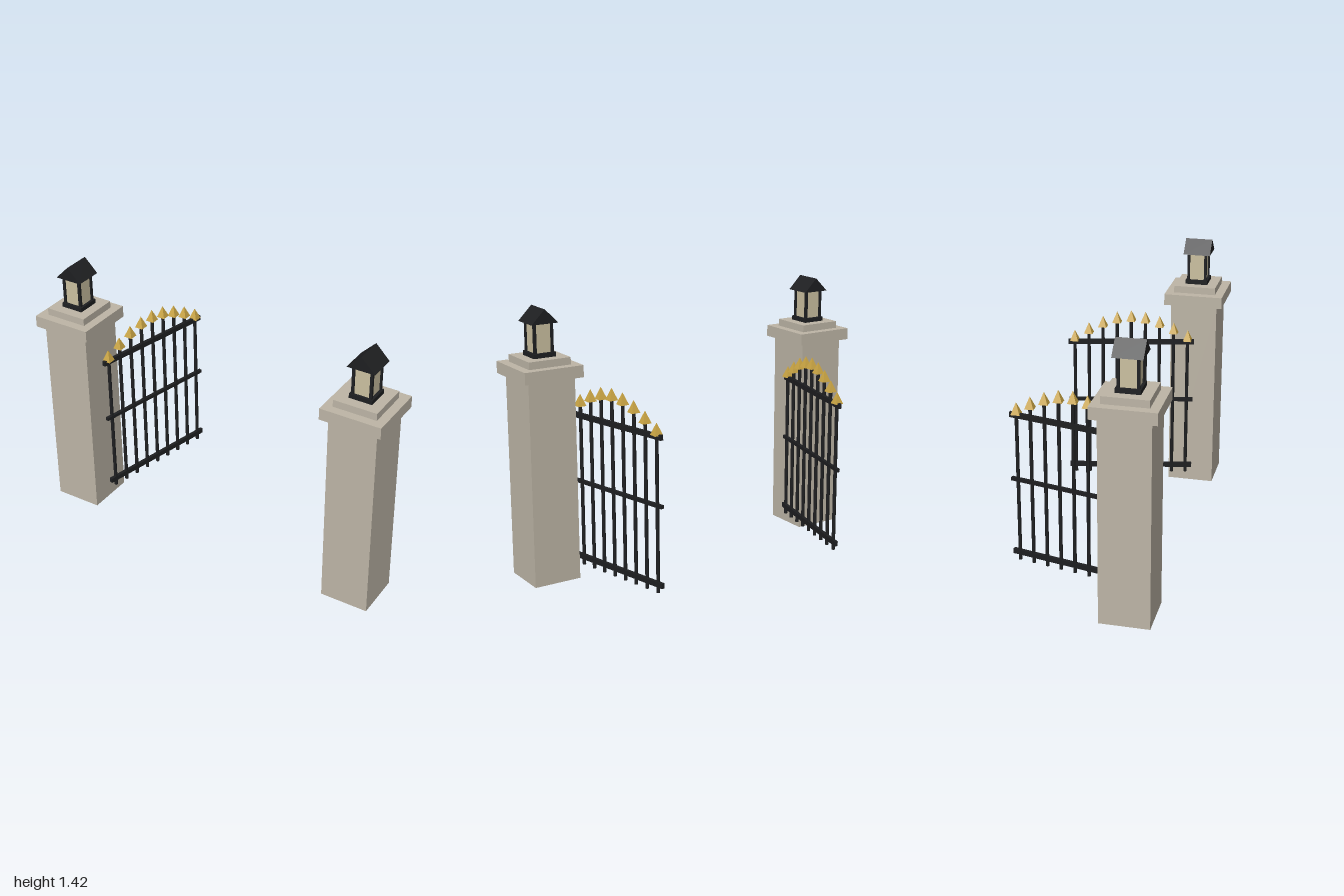
import * as THREE from 'three';

const flat = (name, color, side = THREE.FrontSide) =>
  new THREE.MeshStandardMaterial({ name, color, side, flatShading: true });

export function createModel() {
  const stone = flat('stone', 0xbdb5a6, THREE.DoubleSide);
  const iron = flat('iron', 0x1e1f21);
  const glass = flat('lamp glass', 0xcbc0a0);
  const gold = flat('gold', 0xc9a443);

  const model = new THREE.Group();
  model.name = 'gateway';

  function add(parent, name, geometry, material, x, y, z) {
    const mesh = new THREE.Mesh(geometry, material);
    mesh.name = name;
    mesh.position.set(x, y, z);
    parent.add(mesh);
    return mesh;
  }
  // Box given by its footprint and its bottom and top heights
  const slab = (parent, name, w, y0, y1, d, material, x = 0, z = 0) =>
    add(parent, name, new THREE.BoxGeometry(w, y1 - y0, d), material, x, (y0 + y1) / 2, z);

  function lantern() {
    const lamp = new THREE.Group();
    lamp.name = 'lantern';
    slab(lamp, 'lampBase', 0.122, 1.175, 1.198, 0.122, iron);
    slab(lamp, 'lampGlass', 0.092, 1.198, 1.347, 0.092, glass);
    for (const x of [-1, 1]) for (const z of [-1, 1])
      slab(lamp, 'lampPost', 0.014, 1.198, 1.347, 0.014, iron, x * 0.047, z * 0.047);
    // Gable roof with its ridge running front to back
    const gable = new THREE.Shape([
      new THREE.Vector2(-0.074, 0), new THREE.Vector2(0.074, 0), new THREE.Vector2(0, 0.074),
    ]);
    const roof = new THREE.ExtrudeGeometry(gable, { depth: 0.148, bevelEnabled: false });
    add(lamp, 'lampRoof', roof, iron, 0, 1.347, -0.074);
    return lamp;
  }

  function pillar(side) {
    const group = new THREE.Group();
    group.name = side > 0 ? 'leftPillar' : 'rightPillar';
    group.position.set(side * 0.839, 0, 0.262);
    // Hollow square shaft, open underneath
    const r = 0.257 / Math.SQRT2;
    const shaft = new THREE.CylinderGeometry(r, r, 1.075, 4, 1, true).rotateY(Math.PI / 4);
    add(group, 'shaft', shaft, stone, 0, 1.075 / 2, 0);
    slab(group, 'cap', 0.323, 1.075, 1.137, 0.323, stone);
    slab(group, 'capStep', 0.23, 1.137, 1.175, 0.23, stone);
    group.add(lantern());
    return group;
  }

  function gate(side) {
    const group = new THREE.Group();
    group.name = side > 0 ? 'leftGate' : 'rightGate';
    const angle = 0.222, cx = 0.619, cz = -0.074;
    // Rails swung inward from the pillar
    for (const [y, h] of [[0.103, 0.027], [0.513, 0.018], [0.863, 0.027]]) {
      const rail = slab(group, 'rail', 0.018, y - h / 2, y + h / 2, 0.706, iron, side * cx, cz);
      rail.rotation.y = side * angle;
    }
    // Bars topped with pointed finials along an arch
    for (let i = -4; i <= 4; i++) {
      const z = cz + i * 0.0773;
      const x = side * (cx + i * 0.0773 * Math.tan(angle));
      const tip = 0.932 + 0.117 * Math.cos(i * Math.PI / 8);
      const base = tip - 0.062, length = base - 0.06;
      add(group, 'bar', new THREE.CylinderGeometry(0.0095, 0.0095, length, 8), iron, x, 0.06 + length / 2, z);
      const spike = new THREE.ConeGeometry(0.033, 0.062, 4).rotateY(Math.PI / 4);
      add(group, 'finial', spike, gold, x, base + 0.031, z);
    }
    return group;
  }

  for (const side of [-1, 1]) model.add(pillar(side), gate(side));
  return model;
}
